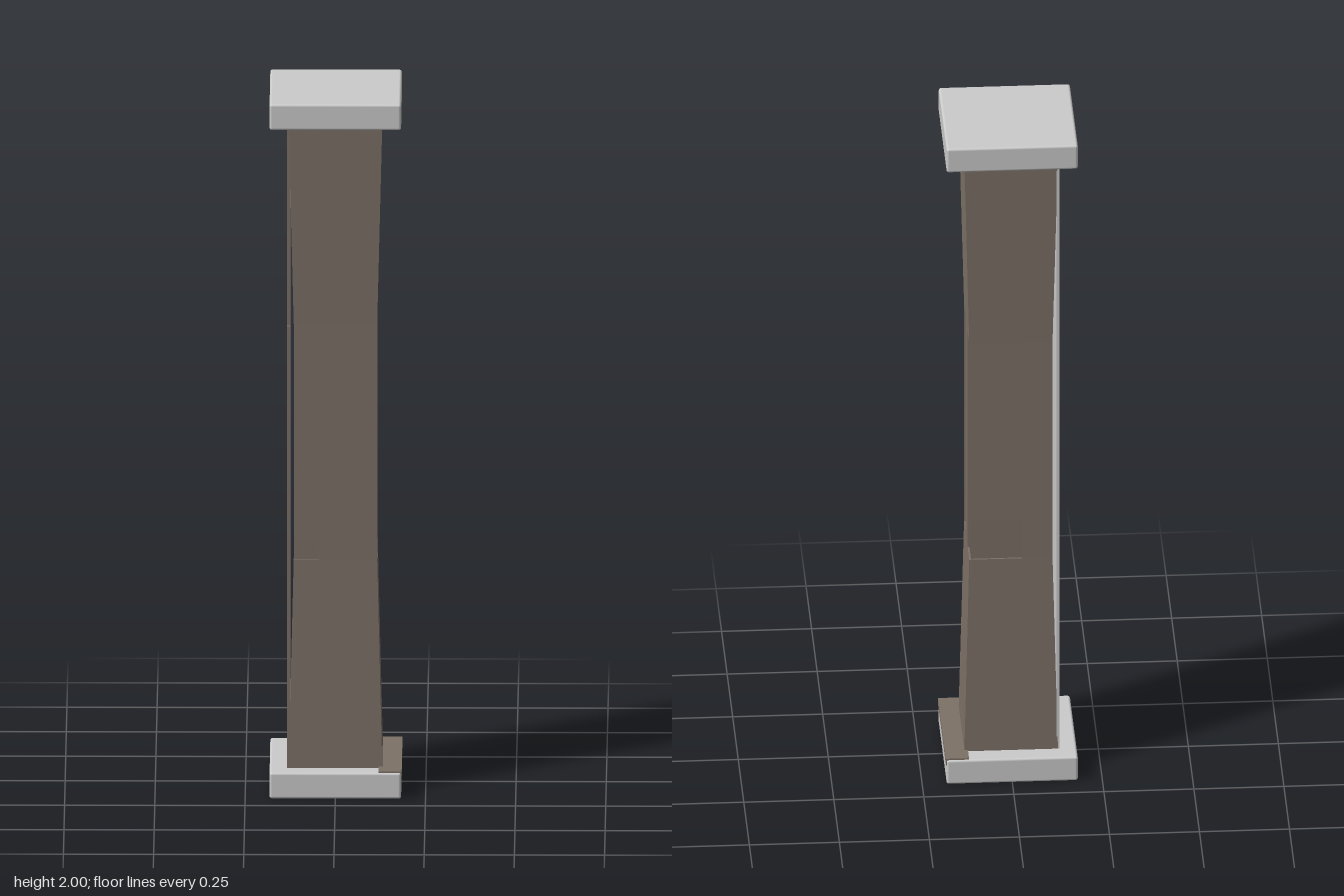
import * as THREE from 'three';
import { RoundedBoxGeometry } from 'three/addons/geometries/RoundedBoxGeometry.js';

const grey = new THREE.MeshStandardMaterial({ color: 0xcccccc, side: THREE.DoubleSide });
const brown = new THREE.MeshStandardMaterial({ color: 0x7d7167, side: THREE.DoubleSide });

// Heights: foot of the casing, window sill, window head, top of the casing
const FOOT = 0.07, SILL = 0.67, HEAD = 1.35, TOP = 1.935;
const T = 0.006; // sheet thickness
const WAIST = 0.89; // the casing narrows towards the windows

export function createModel() {
  const column = new THREE.Group();
  column.name = 'column';

  // Box given by its limits; a tapered one is drawn in between sill and head
  function sheet(name, x0, x1, y0, y1, z0, z1, material = brown, taper = true) {
    const geo = new THREE.BoxGeometry(x1 - x0, y1 - y0, z1 - z0);
    geo.translate((x0 + x1) / 2, (y0 + y1) / 2, (z0 + z1) / 2);
    if (taper) {
      const p = geo.attributes.position;
      for (let i = 0; i < p.count; i++) {
        const y = p.getY(i);
        const k = y > SILL - 0.01 && y < HEAD + 0.01 ? WAIST : 1;
        p.setX(i, p.getX(i) * k);
        p.setZ(i, p.getZ(i) * k);
      }
      geo.computeVertexNormals();
    }
    const mesh = new THREE.Mesh(geo, material);
    mesh.name = name;
    column.add(mesh);
  }

  // End plates
  for (const [name, y] of [['basePlate', 0.0375], ['topPlate', 1.9625]]) {
    const plate = new THREE.Mesh(new RoundedBoxGeometry(0.365, 0.075, 0.365, 2, 0.007), grey);
    plate.name = name;
    plate.position.y = y;
    column.add(plate);
  }

  // Casing walls above and below the windows
  for (const [part, y0, y1] of [['lower', FOOT, SILL], ['upper', HEAD, TOP]]) {
    sheet(part + 'FrontWall', -0.13, 0.13, y0, y1, 0.13 - T, 0.13);
    sheet(part + 'BackWall', -0.13, 0.13, y0, y1, -0.13, -0.13 + T);
    sheet(part + 'LeftWall', 0.13 - T, 0.13, y0, y1, -0.13, 0.13);
  }

  // Strips beside the windows
  sheet('frontStrip', -0.052, 0.13, SILL, HEAD, 0.13 - T, 0.13);
  sheet('backStrip', -0.13, -0.035, SILL, HEAD, -0.13, -0.13 + T);
  sheet('leftStrip', 0.13 - T, 0.13, SILL, HEAD, -0.045, 0.045);

  // Straight right wall: a grey panel, and a brown edge with a wider flap
  sheet('rightPanel', -0.134, -0.126, FOOT, TOP, -0.129, 0.045, grey, false);
  sheet('rightEdge', -0.134, -0.126, FOOT, TOP, 0.045, 0.132, brown, false);
  sheet('rightFlap', -0.134, -0.126, SILL + 0.01, HEAD, 0.132, 0.145, brown, false);

  // Thin brown skirt over the left rim of the base plate
  sheet('baseSkirt', 0.12, 0.184, 0.058, 0.079, -0.178, 0.178, brown, false);
  // Thin trim under the top plate
  sheet('topTrim', 0.1, 0.15, 1.92, 1.93, -0.13, 0.13, brown, false);

  return column;
}
